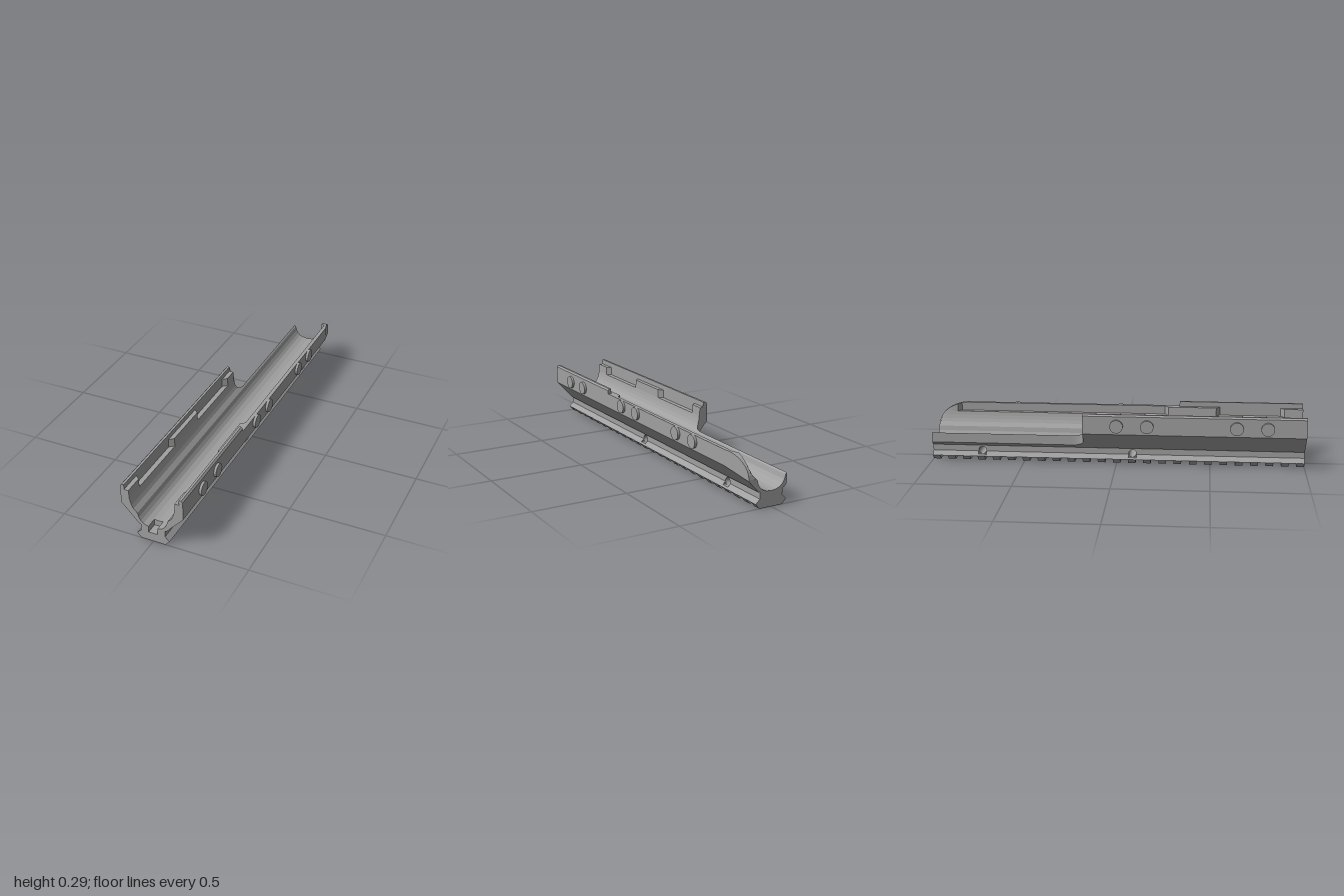
import * as THREE from 'three';

const grey = new THREE.MeshStandardMaterial({ color: 0xa0a0a0 });
grey.name = 'grey metal';

const { clamp, lerp } = THREE.MathUtils;

// Inside of the cradle, from the upper wall down towards the middle
const BORE = [[0.1195, 0.22], [0.115, 0.2], [0.109, 0.182], [0.1, 0.165], [0.08, 0.145],
  [0.074, 0.121], [0.063, 0.104], [0.05, 0.092], [0.027, 0.082]];
const HOLES = [0.085, -0.73];
const NECK_TOP = 0.0755, RAIL_Y = 0.025;
const RAIL_SIDE = [[0.087, RAIL_Y], [0.064, 0.048]];

// Height of the bore at a given distance from the middle
function boreHeight(x) {
  for (let i = 0; i < BORE.length - 1; i++) {
    const [xa, ya] = BORE[i], [xb, yb] = BORE[i + 1];
    if (x <= xa && x >= xb) return lerp(yb, ya, (x - xb) / (xa - xb));
  }
  return 0.22;
}

// Half of the cradle section: o limits the width, t the height, k opens the pocket
function half({ o, t, lip, k }, front) {
  const top = lip ? 0.292 : 0.265;
  const pts = [
    [0.064, 0.083], [0.072, 0.083], [o, 0.083 + (o - 0.072) * 1.097],
    [0.165, lip ? 0.283 : 0.265], [0.157, top], [0.145, top], [0.145, 0.265],
    [lerp(0.122, 0.145, k), 0.265], [lerp(0.1195, 0.145, k), 0.22], ...BORE,
  ].map(([x, y]) => [Math.min(x, o), Math.min(y, t)]);
  if (!front) return [[0.064, NECK_TOP], ...pts];
  // The front end includes the rail and a square notch
  return [...RAIL_SIDE, ...pts.slice(0, -1), [0.024, 0.082], [0.024, 0.048]];
}

const pocket = (z, a, b) => clamp(Math.min(z - a, b - z) / 0.02, 0, 1);

// Full-length wall, with a tapered and rounded back end
function leftWall(z) {
  const e = clamp((-0.85 - z) / 0.15, 0, 1);
  return {
    o: lerp(0.165, 0.128, e),
    t: e > 0 ? 0.15 + 0.115 * Math.sqrt(1 - e * e) : 1,
    lip: z > 0.33,
    k: Math.max(pocket(z, 0.53, 0.9), pocket(z, -0.9, 0.27)),
  };
}

// Short wall, cut away at the back with a fillet
function rightWall(z) {
  if (z > -0.175) {
    return { o: 0.165, t: 1, lip: true, k: Math.max(pocket(z, 0.53, 0.9), pocket(z, -0.1, 0.27)) };
  }
  const f = clamp((z + 0.235) / 0.06, 0, 1);
  const o = 0.088 + 0.028 * (1 - Math.sqrt(1 - f * f));
  return { o, t: boreHeight(o), lip: false, k: 0 };
}

function section(z, front) {
  const l = half(leftWall(z), front);
  const r = half(rightWall(z), front).reverse().map(([x, y]) => [-x, y]);
  return [...l, ...(front ? [] : [[0, 0.079]]), ...r];
}

// Joins sections of equal point count along z and closes both ends
function loft(zs, sectionAt) {
  const rings = zs.map((z) => sectionAt(z).map(([x, y]) => new THREE.Vector3(x, y, z)));
  const pos = [];
  const tri = (...v) => v.forEach((p) => pos.push(p.x, p.y, p.z));
  const n = rings[0].length;
  for (let i = 0; i < rings.length - 1; i++) {
    for (let j = 0; j < n; j++) {
      const a = rings[i][j], b = rings[i][(j + 1) % n];
      const c = rings[i + 1][(j + 1) % n], d = rings[i + 1][j];
      tri(a, b, c);
      tri(a, c, d);
    }
  }
  for (const [ring, flip] of [[rings[0], true], [rings[rings.length - 1], false]]) {
    const flat = ring.map((p) => new THREE.Vector2(p.x, p.y));
    for (const [a, b, c] of THREE.ShapeUtils.triangulateShape(flat, [])) {
      if (flip) tri(ring[a], ring[c], ring[b]);
      else tri(ring[a], ring[b], ring[c]);
    }
  }
  const g = new THREE.BufferGeometry();
  g.setAttribute('position', new THREE.Float32BufferAttribute(pos, 3));
  g.computeVertexNormals();
  return g;
}

export function createModel() {
  const model = new THREE.Group();
  model.name = 'railCradle';
  const add = (name, geometry) => {
    const m = new THREE.Mesh(geometry, grey);
    m.name = name;
    model.add(m);
    return m;
  };

  // Cradle body
  const zs = [0.94];
  for (const z of [0.33, -0.175]) zs.push(z - 0.0002, z + 0.0002);
  for (const z of [0.9, 0.53, 0.27, -0.1, -0.9]) {
    const inward = z === 0.9 || z === 0.27 ? -0.02 : 0.02;
    zs.push(z, z + inward);
  }
  for (let i = 0; i <= 8; i++) zs.push(-0.85 - 0.15 * Math.sin((i / 8) * Math.PI / 2));
  for (let i = 0; i < 6; i++) zs.push(-0.235 + 0.06 * Math.sin((i / 6) * Math.PI / 2));
  zs.sort((a, b) => a - b);
  add('cradle', loft(zs, (z) => section(z, false)));
  add('frontEnd', loft([0.94, 1], (z) => section(z, true)));

  // Rail neck and shoulders, interrupted by the cross holes
  const neck = [...RAIL_SIDE, [0.064, NECK_TOP]];
  const mirrored = (pts) => [...pts, ...pts.map(([x, y]) => [-x, y]).reverse()];
  const gap = 0.022;
  const ends = [-1, HOLES[1] - gap, HOLES[1] + gap, HOLES[0] - gap, HOLES[0] + gap, 0.94];
  for (let i = 0; i < ends.length; i += 2) {
    add('railNeck', loft([ends[i], ends[i + 1]], () => mirrored(neck)));
  }

  // Cross hole blocks
  for (const z of HOLES) {
    const s = new THREE.Shape([[-gap, RAIL_Y], [gap, RAIL_Y], [gap, NECK_TOP], [-gap, NECK_TOP]]
      .map(([x, y]) => new THREE.Vector2(x, y)));
    const hole = new THREE.Path();
    hole.absarc(0, 0.054, 0.0202, 0, Math.PI * 2, true);
    s.holes.push(hole);
    const g = new THREE.ExtrudeGeometry(s, { depth: 0.128, bevelEnabled: false, curveSegments: 16 });
    g.translate(0, 0, -0.064).rotateY(-Math.PI / 2);
    add('crossHole', g).position.z = z;
    const low = [[0.087, RAIL_Y], [0.079, 0.0337]];
    add('lowShoulder', loft([z - gap, z + gap], () => mirrored(low)));
  }

  // Rail teeth
  const teeth = 25, width = 0.04, pitch = (2 - width) / (teeth - 1);
  for (let i = 0; i < teeth; i++) {
    const z = -1 + i * pitch;
    add('railTooth', loft([z, z + width], () => mirrored([[0.065, 0], [0.087, RAIL_Y]])));
  }

  // Round side pads
  const padZ = [0.797, 0.636, 0.166, 0.005, -0.41, -0.57];
  const padGeometry = new THREE.CylinderGeometry(0.035, 0.035, 0.018, 32).rotateZ(Math.PI / 2);
  for (const side of [1, -1]) {
    for (const z of side > 0 ? padZ : padZ.slice(0, 4)) {
      add(side > 0 ? 'leftPad' : 'rightPad', padGeometry).position.set(side * 0.169, 0.231, z);
    }
  }
  return model;
}
